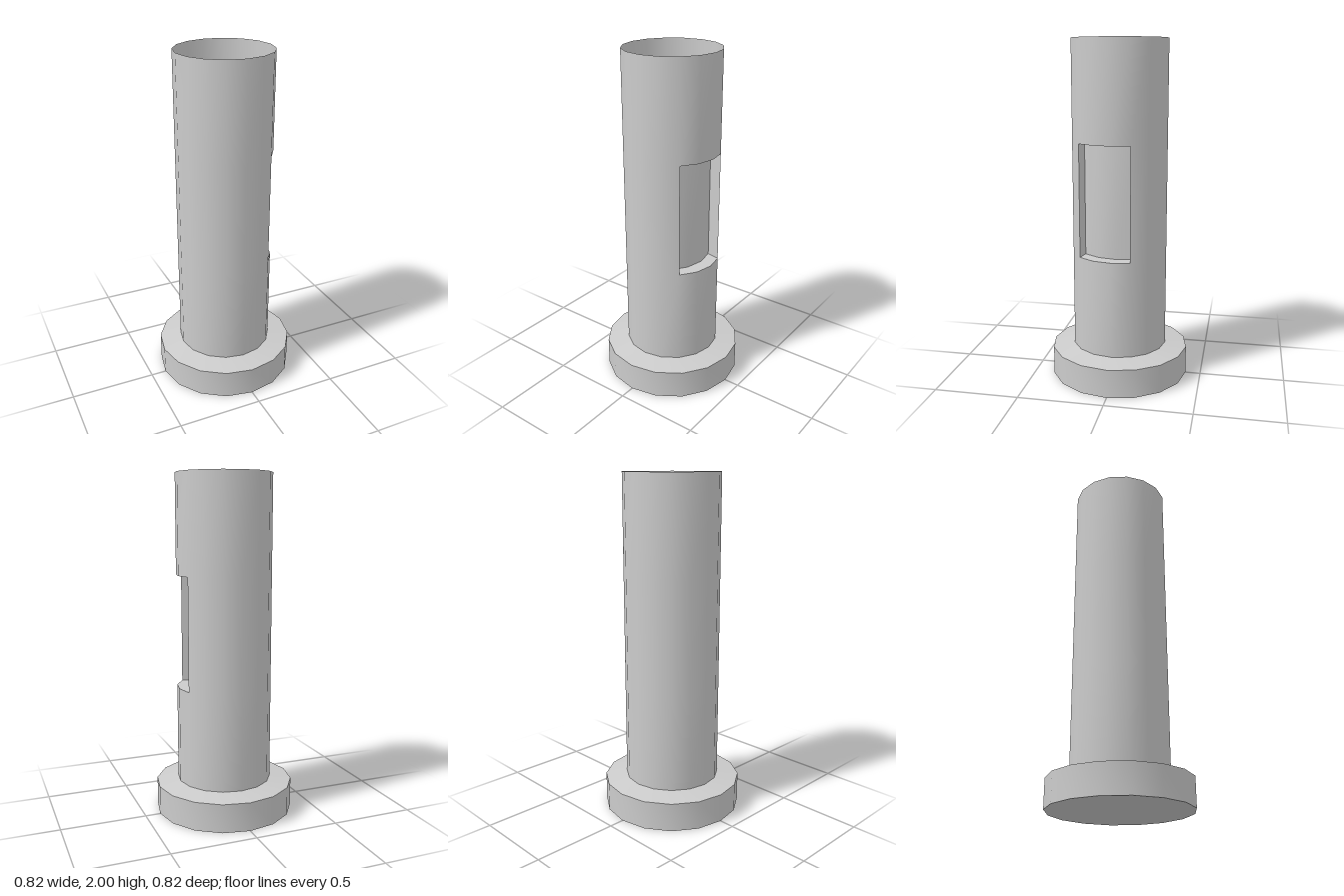
import * as THREE from 'three';
import { toCreasedNormals } from 'three/addons/utils/BufferGeometryUtils.js';

const SIDES = 16, STEP = (Math.PI * 2) / SIDES;
const RADIUS = 0.28, BASE_TOP = 0.19, TOP = 2;
const LOW = 0.76, HIGH = 1.42; // recess height range
const FIRST = -1, LAST = 2; // recess spans these corner indices
const DEPTH = 0.08;

const material = new THREE.MeshStandardMaterial({ color: 0xcccccc, side: THREE.DoubleSide });

// Collects quads and returns a mesh with smooth facets and sharp edges
function quadMesh(name, build) {
  const positions = [];
  build((a, b, c, d) => {
    for (const p of [a, b, c, a, c, d]) positions.push(...p);
  });
  const geometry = new THREE.BufferGeometry();
  geometry.setAttribute('position', new THREE.Float32BufferAttribute(positions, 3));
  return mesh(name, geometry);
}

function mesh(name, geometry) {
  const m = new THREE.Mesh(toCreasedNormals(geometry, Math.PI / 6), material);
  m.name = name;
  return m;
}

// Point on the tube wall at corner i
const outer = (i, y) => [RADIUS * Math.cos(i * STEP), y, RADIUS * Math.sin(i * STEP)];

// The same point pushed inward along the middle direction of the recess
const middle = ((FIRST + LAST) / 2) * STEP;
const inner = (i, y) => {
  const [x, , z] = outer(i, y);
  return [x - DEPTH * Math.cos(middle), y, z - DEPTH * Math.sin(middle)];
};

export function createModel() {
  const group = new THREE.Group();
  group.name = 'flangedTube';

  // Base disc with a gently sloping upper face, open into the tube
  const profile = [[0, 0], [0.41, 0], [0.41, 0.17], [RADIUS, BASE_TOP]];
  group.add(mesh('baseFlange', new THREE.LatheGeometry(profile.map(p => new THREE.Vector2(...p)), SIDES)));

  // Open-topped tube wall, leaving out the recess opening
  group.add(quadMesh('tubeWall', quad => {
    for (let i = FIRST; i < FIRST + SIDES; i++) {
      const bands = i < LAST ? [[BASE_TOP, LOW], [HIGH, TOP]] : [[BASE_TOP, LOW], [LOW, HIGH], [HIGH, TOP]];
      for (const [lo, hi] of bands) {
        quad(outer(i + 1, lo), outer(i, lo), outer(i, hi), outer(i + 1, hi));
      }
    }
  }));

  // Recess: back panel, sill, head and two side walls
  group.add(quadMesh('recess', quad => {
    for (let i = FIRST; i < LAST; i++) {
      quad(inner(i + 1, LOW), inner(i, LOW), inner(i, HIGH), inner(i + 1, HIGH));
      quad(outer(i, LOW), inner(i, LOW), inner(i + 1, LOW), outer(i + 1, LOW));
      quad(outer(i + 1, HIGH), inner(i + 1, HIGH), inner(i, HIGH), outer(i, HIGH));
    }
    quad(inner(FIRST, LOW), outer(FIRST, LOW), outer(FIRST, HIGH), inner(FIRST, HIGH));
    quad(outer(LAST, LOW), inner(LAST, LOW), inner(LAST, HIGH), outer(LAST, HIGH));
  }));

  return group;
}
